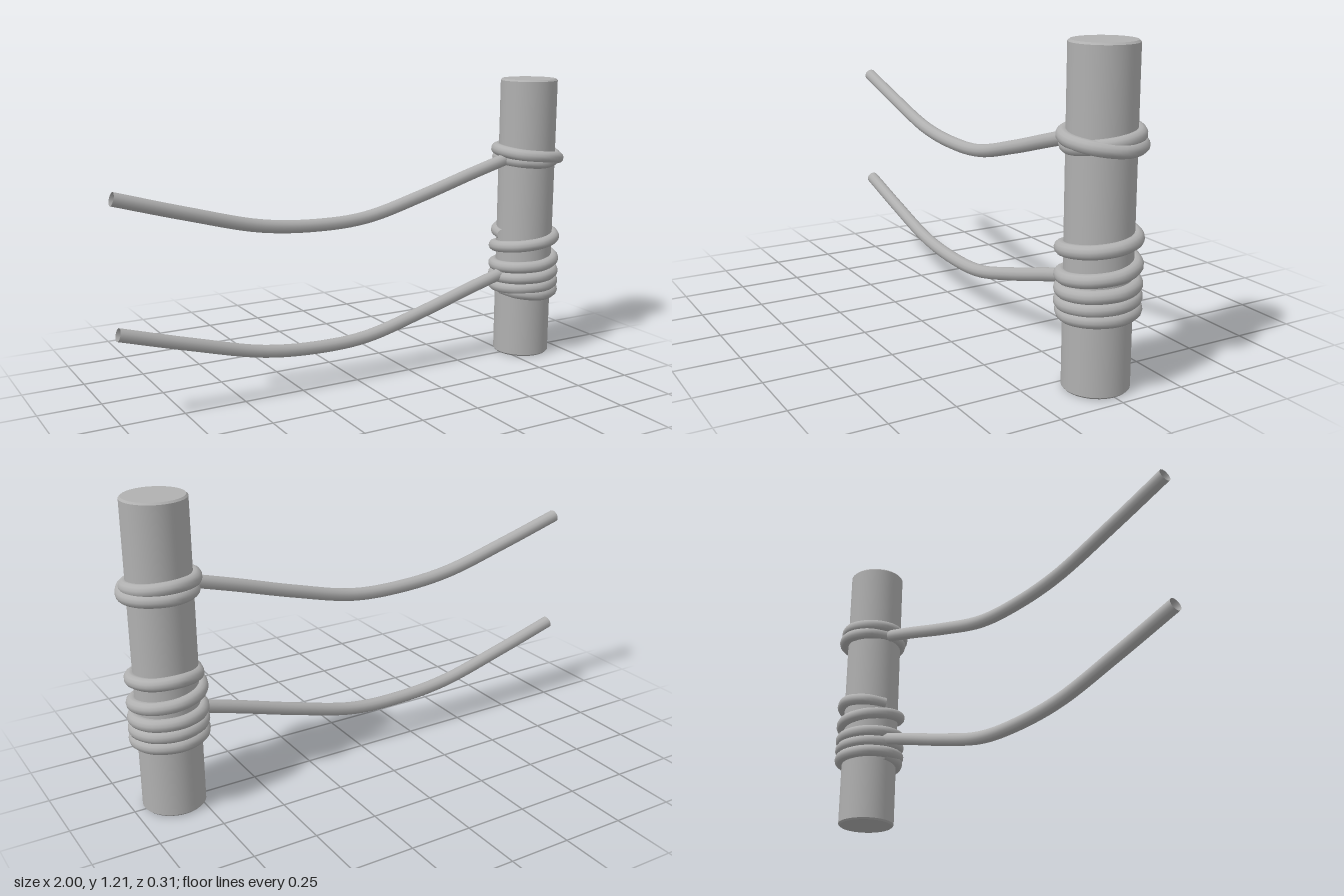
import * as THREE from 'three';
import { toCreasedNormals } from 'three/addons/utils/BufferGeometryUtils.js';

const POST_X = 0.84;

export function createModel() {
  const model = new THREE.Group();
  model.name = 'ropeFencePost';
  const grey = new THREE.MeshStandardMaterial({ color: 0xb0b0b0, side: THREE.DoubleSide });
  grey.name = 'plain grey';

  const add = (name, geometry) => {
    const mesh = new THREE.Mesh(geometry, grey);
    mesh.name = name;
    model.add(mesh);
    return mesh;
  };
  const strand = (name, points, segments, radius) => add(name, new THREE.TubeGeometry(
    new THREE.CatmullRomCurve3(points), segments, radius, 12));

  // Round post with a small bevel at both ends
  const r = 0.12, h = 1.205, b = 0.007;
  const profile = [[0, 0], [r - b, 0], [r, b], [r, h - b], [r - b, h], [0, h]]
    .map(([x, y]) => new THREE.Vector2(x, y));
  add('post', toCreasedNormals(new THREE.LatheGeometry(profile, 40), 0.6)).position.x = POST_X;

  // Two sagging ropes, ending inside the post
  const sag = [[-0.997, 0.852], [-0.72, 0.772], [-0.42, 0.695], [-0.17, 0.673], [0.04, 0.683],
    [0.3, 0.747], [0.55, 0.82], [0.76, 0.878]];
  [['upperRope', 0], ['lowerRope', -0.5]].forEach(([name, dy]) =>
    strand(name, sag.map(([x, y]) => new THREE.Vector3(x, y + dy, 0.007)), 48, 0.026));

  // Windings: one [height, radius] per quarter turn, running left, front, right, back
  const winding = (name, quarters) => {
    const points = [];
    const last = quarters.length - 1;
    for (let i = 0; i <= last * 2; i++) {
      const a = quarters[Math.floor(i / 2)], c = quarters[Math.ceil(i / 2)];
      const angle = i * Math.PI / 4;
      const radius = (a[1] + c[1]) / 2;
      points.push(new THREE.Vector3(POST_X - Math.cos(angle) * radius,
        (a[0] + c[0]) / 2, Math.sin(angle) * radius));
    }
    strand(name, points, last * 10, 0.025);
  };

  winding('upperWinding', [
    [0.865, 0.115], [0.858, 0.122], [0.885, 0.122], [0.905, 0.13],
    [0.902, 0.128], [0.882, 0.13], [0.858, 0.135], [0.864, 0.135], [0.866, 0.115]]);

  const heights = [0.295, 0.28, 0.287, 0.296, 0.305, 0.316, 0.329, 0.341, 0.349, 0.36, 0.374,
    0.387, 0.396, 0.411, 0.435, 0.46, 0.484, 0.51, 0.533, 0.55, 0.535];
  winding('lowerWinding', heights.map((y, i) =>
    [y, i === 0 || i === heights.length - 1 ? 0.115 : 0.128]));

  return model;
}
